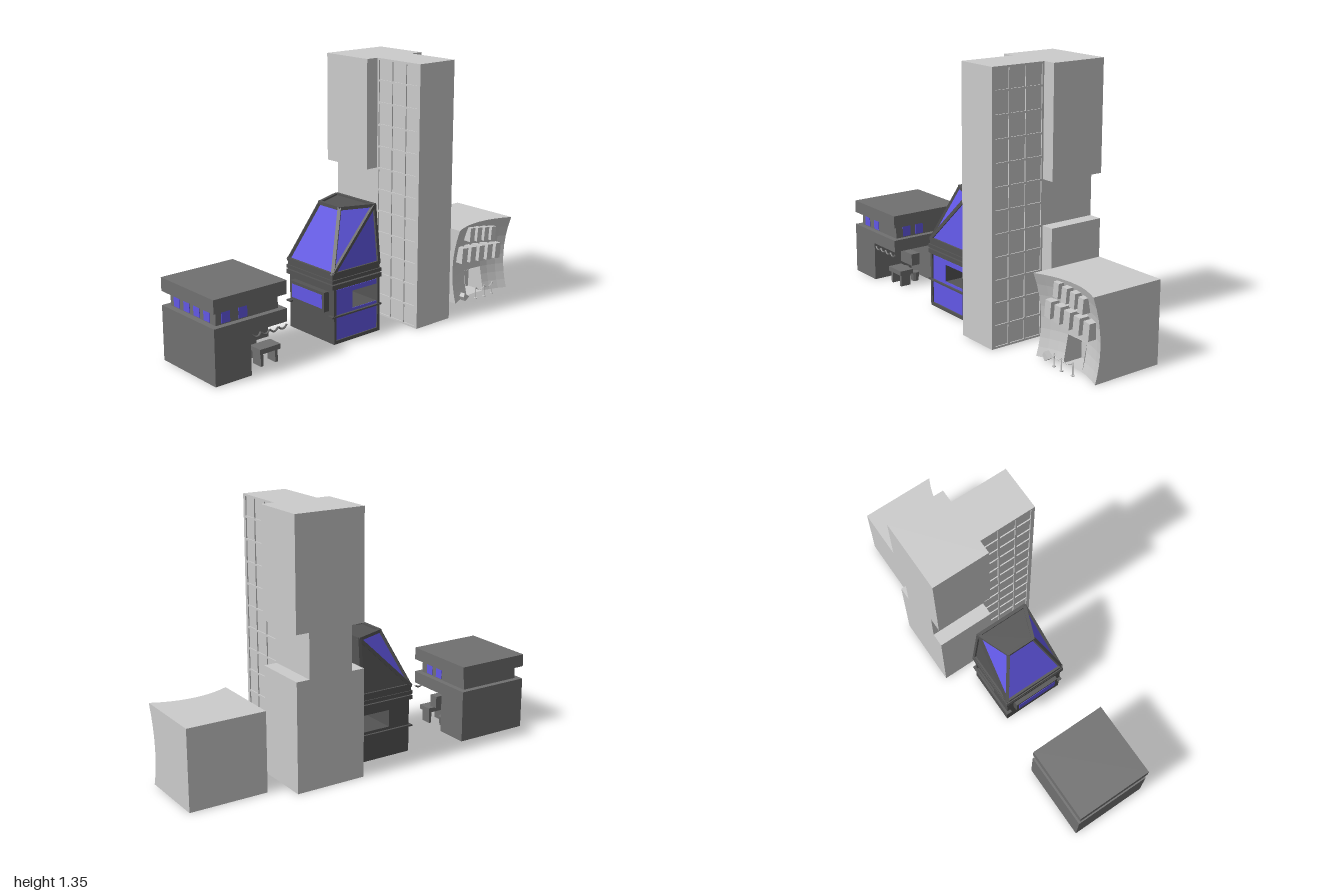
import * as THREE from 'three';

const mat = (color, side = THREE.FrontSide) =>
  new THREE.MeshStandardMaterial({ color, side, flatShading: true });
const GREY = mat(0xcccccc), GREY2 = mat(0xcccccc, THREE.DoubleSide);
const STONE = mat(0x707070), TRIM = mat(0x545454), TRIM2 = mat(0x545454, THREE.DoubleSide);
const BLUE = mat(0x6258e6), BLUE2 = mat(0x6258e6, THREE.DoubleSide);

const group = (parent, name) => {
  const g = new THREE.Group();
  g.name = name;
  parent.add(g);
  return g;
};
const add = (parent, name, geometry, material) => {
  const m = new THREE.Mesh(geometry, material);
  m.name = name;
  parent.add(m);
  return m;
};
// Box given by its limits on each axis
const box = (p, name, x0, x1, y0, y1, z0, z1, material) => {
  const g = new THREE.BoxGeometry(x1 - x0, y1 - y0, z1 - z0);
  g.translate((x0 + x1) / 2, (y0 + y1) / 2, (z0 + z1) / 2);
  return add(p, name, g, material);
};
// Square bar between two points
const bar = (p, name, a, b, w, material) => {
  const A = new THREE.Vector3(...a), B = new THREE.Vector3(...b);
  const m = add(p, name, new THREE.BoxGeometry(w, w, A.distanceTo(B) + w * 0.6), material);
  m.position.copy(A).lerp(B, 0.5);
  m.lookAt(B);
};
// Flat panel through three or four points
const panel = (p, name, pts, material) => {
  const g = new THREE.BufferGeometry();
  g.setAttribute('position', new THREE.Float32BufferAttribute(pts.flat(), 3));
  g.setIndex(pts.length === 4 ? [0, 1, 2, 0, 2, 3] : [0, 1, 2]);
  g.computeVertexNormals();
  add(p, name, g, material);
};

function pavilion(root) {
  const g = group(root, 'pavilion');
  // L-shaped ground floor leaves an open front corner
  const plan = new THREE.Shape([[-1, -0.21], [-0.8, -0.21], [-0.8, 0.03], [-0.59, 0.03], [-0.59, 0.21], [-1, 0.21]]
    .map(([x, y]) => new THREE.Vector2(x, y)));
  const lower = new THREE.ExtrudeGeometry(plan, { depth: 0.21, bevelEnabled: false });
  lower.rotateX(-Math.PI / 2);
  add(g, 'groundFloor', lower, STONE);
  box(g, 'upperWall', -1, -0.59, 0.21, 0.275, -0.21, 0.21, STONE);
  box(g, 'windowBand', -0.97, -0.62, 0.275, 0.345, -0.18, 0.18, STONE);
  box(g, 'roofSlab', -1, -0.59, 0.345, 0.412, -0.21, 0.21, STONE);
  for (const x of [-0.94, -0.845]) box(g, 'frontWindow', x, x + 0.048, 0.28, 0.342, 0.17, 0.183, BLUE);
  for (let i = 0; i < 4; i++) {
    const z = -0.15 + i * 0.08;
    box(g, 'leftSideWindow', -0.973, -0.96, 0.28, 0.342, z, z + 0.048, BLUE);
    if (i > 1) box(g, 'rightSideWindow', -0.63, -0.617, 0.28, 0.342, z, z + 0.048, BLUE);
  }
  // Open corner: counter, bench, stools and scalloped awning
  const c = group(g, 'openCorner');
  box(c, 'counter', -0.72, -0.61, 0.105, 0.17, 0.04, 0.09, STONE);
  box(c, 'benchSeat', -0.72, -0.6, 0.065, 0.09, 0.09, 0.17, STONE);
  for (const x of [-0.71, -0.625]) box(c, 'benchLeg', x, x + 0.015, 0, 0.065, 0.1, 0.16, STONE);
  for (const x of [-0.765, -0.66]) {
    const s = new THREE.CylinderGeometry(0.025, 0.02, 0.05, 10);
    s.translate(x, 0.025, 0.04);
    add(c, 'stool', s, STONE);
  }
  for (let i = 0; i < 4; i++) {
    const x = -0.79 + i * 0.05;
    const swag = new THREE.QuadraticBezierCurve3(new THREE.Vector3(x, 0.195, 0.205),
      new THREE.Vector3(x + 0.025, 0.165, 0.212), new THREE.Vector3(x + 0.05, 0.195, 0.205));
    add(c, 'awningSwag', new THREE.TubeGeometry(swag, 6, 0.005, 5), STONE);
  }
}

function kiosk(root) {
  const g = group(root, 'kiosk');
  const x0 = -0.28, x1 = 0.02, z0 = -0.155, z1 = 0.175;
  // Hollow body with a serving hatch front and back
  box(g, 'base', x0, x1, 0, 0.16, z0, z1, TRIM);
  box(g, 'hatchSide', x0, -0.155, 0.16, 0.25, z0, z1, TRIM);
  box(g, 'hatchPost', 0.006, x1, 0.16, 0.25, z0, z1, TRIM);
  box(g, 'hatchLintel', x0, x1, 0.25, 0.285, z0, z1, TRIM);
  box(g, 'hatchColumn', -0.09, -0.05, 0.16, 0.25, -0.01, 0.03, BLUE);
  box(g, 'lowerGlass', x0 + 0.015, x1 - 0.015, 0.018, 0.16, z1, z1 + 0.003, BLUE);
  box(g, 'sideGlass', x0 + 0.015, -0.155, 0.16, 0.25, z1, z1 + 0.003, BLUE);
  box(g, 'upperGlass', x0 + 0.015, x1 - 0.015, 0.25, 0.275, z1, z1 + 0.003, BLUE);
  for (const x of [x0, x1 - 0.015]) box(g, 'frontPost', x, x + 0.015, 0, 0.285, z1, z1 + 0.01, TRIM);
  box(g, 'frontSill', x0, x1, 0, 0.018, z1, z1 + 0.01, TRIM);
  box(g, 'frontShelf', -0.295, 0.03, 0.138, 0.146, z1 - 0.02, z1 + 0.015, TRIM);
  box(g, 'backShelf', -0.295, 0.03, 0.138, 0.146, z0 - 0.012, z0 + 0.02, TRIM);
  // Framed display window on the side
  box(g, 'sideWindowFrame', -0.31, x0, 0.165, 0.265, -0.115, 0.145, TRIM);
  box(g, 'sideWindowGlass', -0.312, -0.305, 0.18, 0.25, -0.1, 0.13, BLUE);
  // Double cornice
  box(g, 'cornice', -0.293, 0.028, 0.285, 0.307, -0.167, 0.19, TRIM);
  box(g, 'corniceGroove', x0, x1, 0.307, 0.314, z0, z1, TRIM);
  box(g, 'cornice', -0.293, 0.028, 0.314, 0.332, -0.167, 0.19, TRIM);
  box(g, 'roofCurb', -0.287, 0.02, 0.332, 0.362, -0.162, 0.183, TRIM);
  // Faceted glass roof
  const roof = group(g, 'glassRoof'), y = 0.36, t = 0.648;
  const F0 = [-0.282, y, 0.178], F1 = [0.015, y, 0.178], B0 = [-0.282, y, -0.158], B1 = [0.015, y, -0.158];
  const TF0 = [-0.155, t, 0.083], TF1 = [0.012, t, 0.148], TB0 = [-0.155, t, -0.065], TB1 = [0.012, t, -0.13];
  panel(roof, 'frontUpperGlass', [F0, TF1, TF0], BLUE2);
  panel(roof, 'frontLowerGlass', [F0, F1, TF1], BLUE2);
  panel(roof, 'slopeGlass', [B0, F0, TF0, TB0], BLUE2);
  panel(roof, 'backUpperGlass', [B0, TB0, TB1], BLUE2);
  panel(roof, 'backLowerPanel', [B0, TB1, B1], TRIM2);
  panel(roof, 'sideWall', [F1, B1, TB1, TF1], TRIM2);
  panel(roof, 'roofTop', [TF0, TF1, TB1, TB0], TRIM2);
  for (const [a, b] of [[F0, TF0], [F0, TF1], [F1, TF1], [B0, TB0], [B0, TB1], [B1, TB1],
    [TF0, TF1], [TF1, TB1], [TB1, TB0], [TB0, TF0], [F0, F1], [B0, B1], [F0, B0]])
    bar(roof, 'roofFrame', a, b, 0.017, TRIM);
}

function tower(root) {
  const g = group(root, 'tower'), H = 1.345, e = 0.006;
  const x0 = 0.17, x1 = 0.405, zf = 0.3;
  box(g, 'lowerBlock', 0.1, 0.475, 0, 0.56, -0.303, 0, GREY);
  box(g, 'upperBlock', 0.1, 0.475, 0.787, H, -0.303, 0, GREY);
  box(g, 'waist', x0, x1, 0.56, 0.787, -0.303, 0, GREY);
  box(g, 'frontShaft', x0 + e, x1 - e, 0, H, 0, zf - e, GREY);
  // Window grid wrapped around the front shaft
  const rows = 12, w = 0.005;
  for (let i = 0; i <= rows; i++) {
    const y = Math.min(Math.max(i * H / rows, w), H - w);
    box(g, 'floorBand', x0, x1, y - w, y + w, 0, zf, GREY);
  }
  for (let i = 0; i <= 3; i++) {
    const x = x0 + w + i * (x1 - x0 - 2 * w) / 3, z = w + i * (zf - 2 * w) / 3;
    box(g, 'frontMullion', x - w, x + w, 0, H, zf - 0.02, zf, GREY);
    box(g, 'sideMullions', x0, x1, 0, H, z - w, z + w, GREY);
  }
}

function musicHall(root) {
  const g = group(root, 'musicHall');
  const x0 = 0.585, x1 = 0.995, H = 0.412, zb = -0.205;
  // Front wall is dished in both directions
  const edge = y => 0.15 + (y > 0.17 ? 0.048 * ((y - 0.17) / 0.242) ** 2 : 0.027 * ((0.17 - y) / 0.17) ** 2);
  const wall = (x, y) => edge(y) - 0.053 * (1 - ((x - 0.79) / 0.205) ** 2);
  const xs = [x0, 0.63, 0.68, 0.725, 0.79, 0.855, 0.9, 0.95, x1];
  const ys = [0, 0.045, 0.09, 0.135, 0.19, 0.245, 0.3, 0.355, H];
  const pos = [];
  const quad = (a, b, c, d) => pos.push(...a, ...b, ...c, ...a, ...c, ...d);
  const P = (x, y) => [x, y, wall(x, y)];
  for (let i = 0; i < 8; i++) {
    const a = xs[i], b = xs[i + 1], c = ys[i], d = ys[i + 1];
    for (let j = 0; j < 8; j++) {
      if ((i === 3 || i === 4) && j < 3) continue; // doorway
      quad(P(a, ys[j]), P(b, ys[j]), P(b, ys[j + 1]), P(a, ys[j + 1]));
    }
    quad(P(a, H), P(b, H), [b, H, zb], [a, H, zb]);
    quad([a, 0, zb], [b, 0, zb], P(b, 0), P(a, 0));
    quad(P(x1, c), [x1, c, zb], [x1, d, zb], P(x1, d));
    quad([x0, c, zb], P(x0, c), P(x0, d), [x0, d, zb]);
  }
  quad([x1, 0, zb], [x0, 0, zb], [x0, H, zb], [x1, H, zb]);
  // Doorway recess
  const l = 0.725, r = 0.855, h = 0.135, zr = 0.02;
  quad([l, 0, zr], [r, 0, zr], [r, h, zr], [l, h, zr]);
  quad(P(l, 0), [l, 0, zr], [l, h, zr], P(l, h));
  quad([r, 0, zr], P(r, 0), P(r, h), [r, h, zr]);
  quad([l, h, zr], [r, h, zr], P(r, h), P(l, h));
  const geo = new THREE.BufferGeometry();
  geo.setAttribute('position', new THREE.Float32BufferAttribute(pos, 3));
  geo.computeVertexNormals();
  add(g, 'hall', geo, GREY2);
  // Two rows of plain raised blocks on the facade
  for (const [n, xa, xb, y, bh] of [[4, 0.685, 0.91, 0.347, 0.075], [5, 0.625, 0.955, 0.24, 0.085]])
    for (let i = 0; i < n; i++) {
      const step = (xb - xa) / n, x = xa + step * (i + 0.5), yc = y + 0.012 - 0.024 * i / (n - 1);
      const back = wall(x, yc) - 0.005;
      const m = add(g, 'facadeBlock', new THREE.BoxGeometry(step * 0.62, bh, 0.172 - back), GREY);
      m.position.set(x, yc, (0.172 + back) / 2);
      m.rotation.z = -0.1;
    }
  // Rope barrier at the door
  const posts = [0.73, 0.79, 0.86].map((x, i) => new THREE.Vector3(x, 0.062, i === 1 ? 0.197 : 0.19));
  for (const p of posts) {
    const pole = new THREE.CylinderGeometry(0.003, 0.003, 0.065, 8);
    pole.translate(p.x, 0.0325, p.z);
    add(g, 'barrierPost', pole, GREY);
    const foot = new THREE.CylinderGeometry(0.009, 0.009, 0.004, 10);
    foot.translate(p.x, 0.002, p.z);
    add(g, 'barrierFoot', foot, GREY);
  }
  for (let i = 0; i < 2; i++) {
    const mid = posts[i].clone().lerp(posts[i + 1], 0.5).setY(0.03);
    add(g, 'rope', new THREE.TubeGeometry(new THREE.QuadraticBezierCurve3(posts[i], mid, posts[i + 1]), 8, 0.002, 5), GREY);
  }
  // Wedge-shaped floor speaker
  const wedge = new THREE.ExtrudeGeometry(new THREE.Shape([[0.64, 0.025], [0.655, 0], [0.685, 0.02], [0.65, 0.045]]
    .map(([x, y]) => new THREE.Vector2(x, y))), { depth: 0.03, bevelEnabled: false });
  wedge.translate(0, 0, 0.155);
  add(g, 'floorSpeaker', wedge, GREY);
}

export function createModel() {
  const root = new THREE.Group();
  root.name = 'cityBlock';
  pavilion(root);
  kiosk(root);
  tower(root);
  musicHall(root);
  return root;
}
